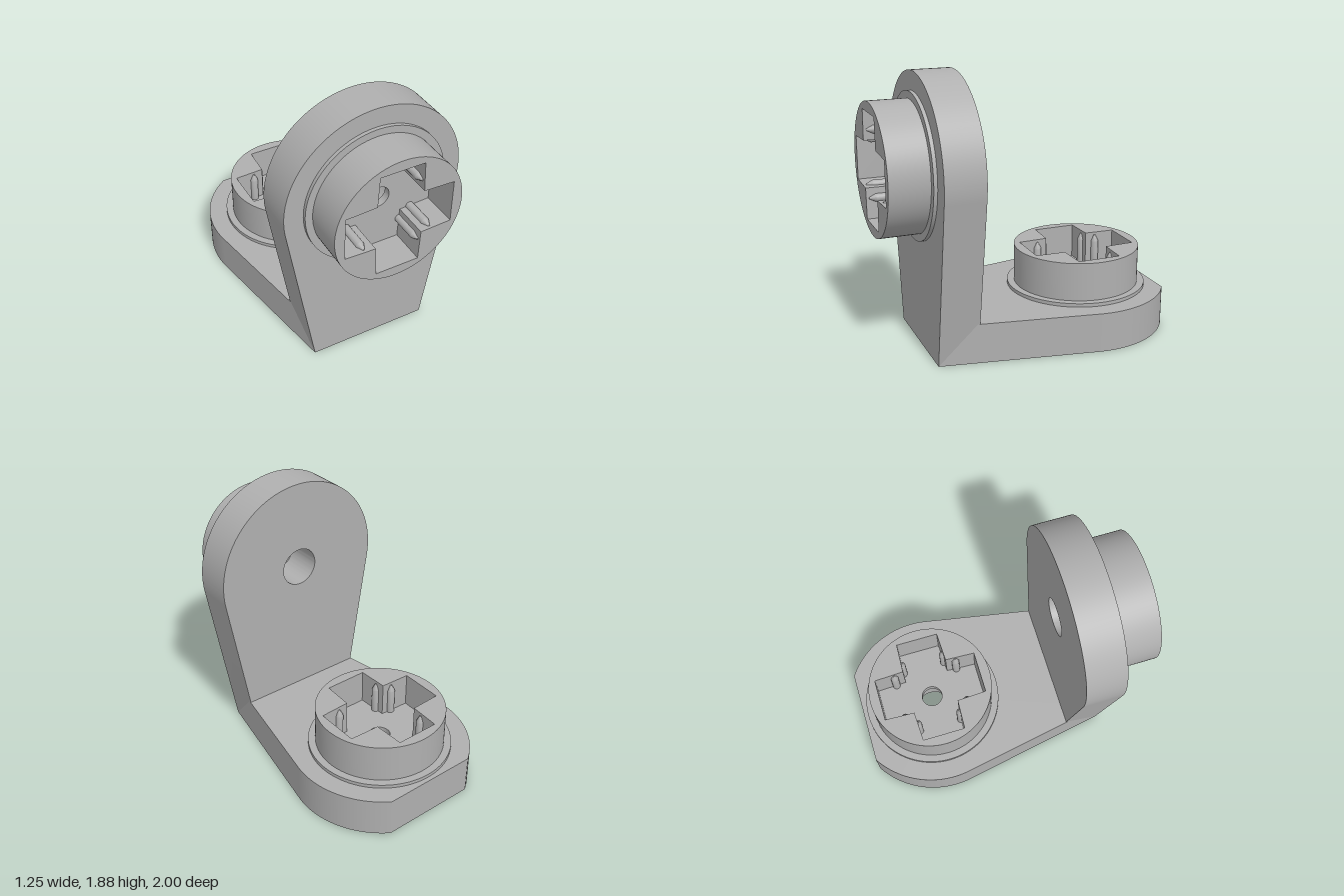
import * as THREE from 'three';
import { toCreasedNormals } from 'three/addons/utils/BufferGeometryUtils.js';

const R = 0.625;            // rounded end of each plate
const FOOT = 0.42;          // half width of a plate at the bend
const BORE = 0.135, HOLE = 0.074;

const grey = new THREE.MeshStandardMaterial({ color: 0xb0b0b0 });
grey.name = 'grey';

function add(group, name, geometry) {
  const mesh = new THREE.Mesh(toCreasedNormals(geometry, 0.5), grey);
  mesh.name = name;
  group.add(mesh);
  return mesh;
}

// Extrudes a shape along z from z0 to z1
function slab(shape, z0, z1) {
  const g = new THREE.ExtrudeGeometry(shape, { depth: z1 - z0, bevelEnabled: false, curveSegments: 48 });
  return g.translate(0, 0, z0);
}

function circle(r, PathType = THREE.Shape) {
  return new PathType().absarc(0, 0, r, 0, Math.PI * 2, false);
}

// Tapered plate tangent to its round end; the end may be cut flat at height cut
function plateShape(length, cut) {
  const tangent = Math.atan2(-length, FOOT) + Math.acos(R / Math.hypot(FOOT, length));
  const top = Math.asin(Math.min(1, cut / R));
  const s = new THREE.Shape();
  s.moveTo(-FOOT, -length);
  s.lineTo(FOOT, -length);
  s.absarc(0, 0, R, tangent, top, false);
  s.absarc(0, 0, R, Math.PI - top, Math.PI - tangent, false);
  s.closePath();
  s.holes.push(circle(BORE, THREE.Path));
  return s;
}

// Cross pocket with slightly narrowing arms
function crossPath() {
  const pts = [];
  for (let i = 0; i < 4; i++) {
    const c = new THREE.Vector2();
    for (const [x, y] of [[0.374, -0.152], [0.374, 0.152], [0.161, 0.161]]) {
      pts.push(new THREE.Vector2(x, y).rotateAround(c, i * Math.PI / 2));
    }
  }
  return new THREE.Path(pts);
}

function createArm(name, length, cut) {
  const arm = new THREE.Group();
  arm.name = name;
  add(arm, 'plate', slab(plateShape(length, cut), 0, 0.275));

  // Collar and pocket floor with the screw hole
  const collar = circle(0.495);
  collar.holes.push(circle(HOLE, THREE.Path));
  add(arm, 'collar', slab(collar, 0.275, 0.3));
  const floor = circle(0.44);
  floor.holes.push(circle(HOLE, THREE.Path));
  add(arm, 'pocketFloor', slab(floor, 0.3, 0.325));

  // Round socket with the cross pocket
  const socket = circle(0.445);
  socket.holes.push(crossPath());
  add(arm, 'socket', slab(socket, 0.3, 0.57));

  // Pointed pins half sunk into the pocket walls
  const profile = [[0.028, 0.32], [0.028, 0.505], [0.006, 0.55], [0, 0.55]];
  const pin = new THREE.LatheGeometry(profile.map(p => new THREE.Vector2(...p)), 16).rotateX(Math.PI / 2);
  for (const sx of [-1, 1]) for (const sy of [-1, 1]) {
    for (const [x, y] of [[0.232, 0.157], [0.157, 0.232]]) {
      add(arm, 'pin', pin).position.set(sx * x, sy * y, 0);
    }
  }
  return arm;
}

export function createModel() {
  const model = new THREE.Group();
  model.name = 'angleBracket';

  const upright = createArm('uprightArm', 1.25, R);
  upright.position.set(0, 1.25, 0.43);

  const base = createArm('baseArm', 1.18, 0.525);
  base.rotation.x = -Math.PI / 2;
  base.position.set(0, 0, -0.475);

  model.add(upright, base);
  return model;
}
